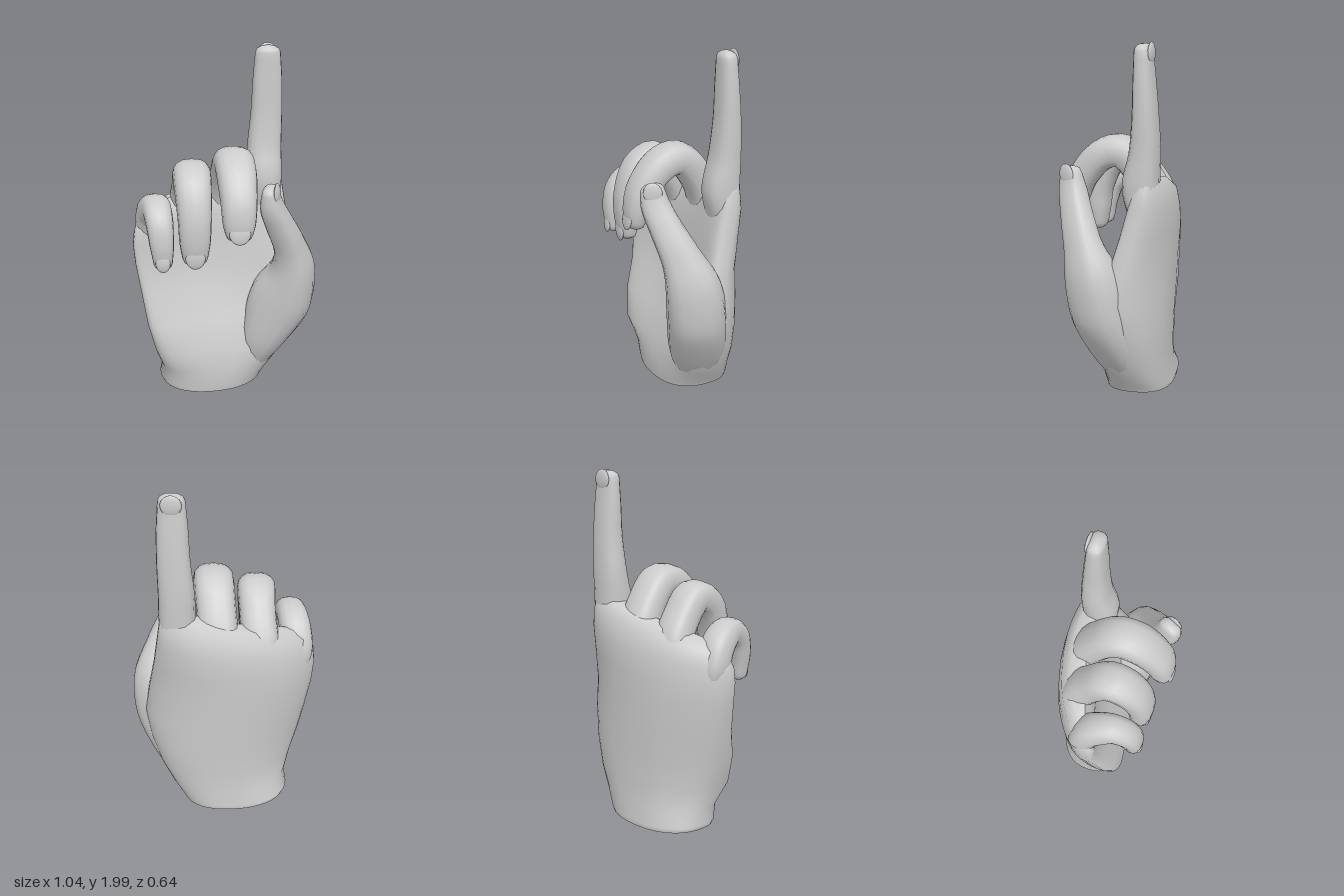
import * as THREE from 'three';

const V = (x, y, z) => new THREE.Vector3(x, y, z);
const grey = new THREE.MeshStandardMaterial({ color: 0xcccccc });
// Rounded-square version of a sine or cosine
const soft = (t, e) => Math.sign(t) * Math.abs(t) ** e;

// Skin a list of equal-length rings into a smooth closed surface
function loft(rings, name, flatStart = false) {
  const n = rings[0].length, pos = [], idx = [];
  rings.forEach(r => r.forEach(p => pos.push(p.x, p.y, p.z)));
  for (let i = 0; i < rings.length - 1; i++) {
    for (let j = 0; j < n; j++) {
      const k = (j + 1) % n, a = i * n + j, b = i * n + k;
      idx.push(a, b, a + n, b, b + n, a + n);
    }
  }
  const cap = (ring, first, flip, separate) => {
    let start = first;
    if (separate) {
      start = pos.length / 3;
      ring.forEach(p => pos.push(p.x, p.y, p.z));
    }
    const c = ring.reduce((s, p) => s.add(p), V(0, 0, 0)).divideScalar(n);
    const ci = pos.length / 3;
    pos.push(c.x, c.y, c.z);
    for (let j = 0; j < n; j++) {
      const a = start + j, b = start + (j + 1) % n;
      flip ? idx.push(b, a, ci) : idx.push(a, b, ci);
    }
  };
  cap(rings[0], 0, true, flatStart);
  cap(rings[rings.length - 1], (rings.length - 1) * n, false, false);
  const g = new THREE.BufferGeometry();
  g.setAttribute('position', new THREE.Float32BufferAttribute(pos, 3));
  g.setIndex(idx);
  g.computeVertexNormals();
  const mesh = new THREE.Mesh(g, grey);
  mesh.name = name;
  return mesh;
}

// Palm sections: y, xMin, xMax, z centre, half thickness, arch, knuckle slope, twist
function palm() {
  const sections = [
    [0.02, -0.37, 0.22, -0.10, 0.20, 0, 0, 0.03],
    [0.05, -0.385, 0.235, -0.10, 0.205, 0, 0, 0.03],
    [0.15, -0.37, 0.29, -0.07, 0.20, 0.02, 0, 0.04],
    [0.28, -0.405, 0.36, -0.02, 0.19, 0.085, 0, 0.055],
    [0.45, -0.45, 0.415, -0.02, 0.165, 0.115, 0, 0.055],
    [0.62, -0.48, 0.44, -0.035, 0.135, 0.14, 0, 0.04],
    [0.80, -0.51, 0.41, -0.055, 0.12, 0.135, 0, 0.045],
    [0.95, -0.52, 0.375, -0.08, 0.115, 0.12, 0.03, 0.07],
    [1.07, -0.51, 0.35, -0.10, 0.11, 0.10, 0.07, 0.09],
    [1.18, -0.475, 0.33, -0.12, 0.085, 0.085, 0.09, 0.085],
    [1.23, -0.40, 0.28, -0.13, 0.04, 0.07, 0.09, 0.07],
  ];
  const rings = sections.map(([y, x0, x1, zc, ht, arch, slope, twist], i) => {
    const ring = [], e = i < 3 ? 0.82 : 0.68;
    for (let j = 0; j < 40; j++) {
      const a = j / 40 * Math.PI * 2, u = soft(Math.cos(a), e), v = soft(Math.sin(a), e);
      // The wrist cut curves up at the sides and the back
      const dip = i < 2 ? 0.02 * u * u + 0.012 * v : 0;
      ring.push(V((x0 + x1) / 2 + (x1 - x0) / 2 * u, y + slope * u + dip,
        zc - arch * (1 - u * u) - twist * u - ht * v));
    }
    return ring;
  });
  return loft(rings, 'palm', true);
}

// Finger along a curve; points are x, y, z, half width, half depth; nail on its outer side
function finger(name, points, widthAxis, nailWidth, nailLength) {
  const group = new THREE.Group();
  group.name = name;
  const path = new THREE.CatmullRomCurve3(points.map(p => V(p[0], p[1], p[2])));
  const size = new THREE.CatmullRomCurve3(points.map(p => V(p[3], p[4], 0)));
  const rings = [], steps = 26;
  let T, W, N;
  const addRing = (c, rw, rd) => {
    const ring = [];
    for (let j = 0; j < 16; j++) {
      const a = j / 16 * Math.PI * 2;
      ring.push(c.clone().addScaledVector(W, rw * soft(Math.cos(a), 0.8))
        .addScaledVector(N, rd * soft(Math.sin(a), 0.8)));
    }
    rings.push(ring);
  };
  for (let i = 0; i <= steps; i++) {
    // getPoint and getTangent share one parameter, so sizes stay tied to their points
    T = path.getTangent(i / steps);
    W = widthAxis.clone().addScaledVector(T, -widthAxis.dot(T)).normalize();
    N = T.clone().cross(W);
    const s = size.getPoint(i / steps);
    addRing(path.getPoint(i / steps), s.x, s.y);
  }
  // Rounded fingertip
  const end = path.getPoint(1), s = size.getPoint(1);
  for (const a of [0.5, 0.95, 1.3]) {
    addRing(end.clone().addScaledVector(T, s.y * 0.8 * Math.sin(a)), s.x * Math.cos(a), s.y * Math.cos(a));
  }
  group.add(loft(rings, name + 'Skin'));

  // Thin domed nail
  const nail = new THREE.Mesh(new THREE.SphereGeometry(1, 14, 10), grey);
  nail.name = name + 'Nail';
  nail.geometry.scale(nailWidth, nailLength, 0.014);
  nail.geometry.applyMatrix4(new THREE.Matrix4().makeBasis(W.clone().negate(), T, N));
  nail.position.copy(end).addScaledVector(N, s.y * 0.9).addScaledVector(T, -0.012);
  group.add(nail);
  return group;
}

export function createModel() {
  const hand = new THREE.Group();
  hand.name = 'pointingHand';
  const X = V(1, 0, 0);
  hand.add(
    palm(),
    finger('indexFinger', [
      [0.21, 0.96, -0.19, 0.07, 0.05], [0.225, 1.1, -0.195, 0.10, 0.085],
      [0.235, 1.24, -0.18, 0.10, 0.098], [0.235, 1.42, -0.20, 0.097, 0.08],
      [0.245, 1.62, -0.205, 0.088, 0.066], [0.247, 1.80, -0.20, 0.082, 0.056],
      [0.247, 1.955, -0.195, 0.07, 0.046],
    ], X, 0.055, 0.055),
    finger('middleFinger', [
      [0.01, 0.98, -0.2, 0.08, 0.07], [0.015, 1.14, -0.19, 0.11, 0.095],
      [0.03, 1.29, -0.11, 0.108, 0.09], [0.045, 1.385, -0.01, 0.11, 0.09],
      [0.055, 1.36, 0.10, 0.11, 0.088], [0.062, 1.23, 0.21, 0.1, 0.08],
      [0.062, 1.12, 0.245, 0.09, 0.066], [0.062, 1.06, 0.255, 0.075, 0.05],
    ], X, 0.058, 0.06),
    finger('ringFinger', [
      [-0.21, 0.94, -0.16, 0.08, 0.07], [-0.21, 1.09, -0.15, 0.105, 0.095],
      [-0.195, 1.23, -0.07, 0.10, 0.09], [-0.185, 1.33, 0.03, 0.105, 0.088],
      [-0.18, 1.28, 0.13, 0.102, 0.085], [-0.175, 1.13, 0.195, 0.092, 0.075],
      [-0.175, 1.00, 0.205, 0.085, 0.066], [-0.175, 0.91, 0.205, 0.07, 0.05],
    ], X, 0.054, 0.06),
    finger('littleFinger', [
      [-0.40, 0.88, -0.07, 0.06, 0.05], [-0.42, 1.0, -0.05, 0.085, 0.08],
      [-0.405, 1.11, 0.0, 0.088, 0.085], [-0.38, 1.16, 0.10, 0.08, 0.078],
      [-0.365, 1.11, 0.18, 0.075, 0.07], [-0.355, 1.0, 0.215, 0.067, 0.06],
      [-0.35, 0.89, 0.22, 0.052, 0.044],
    ], X, 0.04, 0.052),
    // Thumb with its fleshy base buried in the palm
    finger('thumb', [
      [0.15, 0.12, -0.08, 0.10, 0.08], [0.235, 0.32, -0.045, 0.16, 0.135],
      [0.32, 0.56, 0.0, 0.165, 0.18], [0.375, 0.76, 0.05, 0.15, 0.13],
      [0.352, 0.93, 0.11, 0.108, 0.083], [0.285, 1.09, 0.17, 0.088, 0.072],
      [0.24, 1.2, 0.205, 0.08, 0.062], [0.228, 1.29, 0.22, 0.064, 0.042],
    ], V(-0.4, 0, 1), 0.05, 0.06),
  );
  return hand;
}
